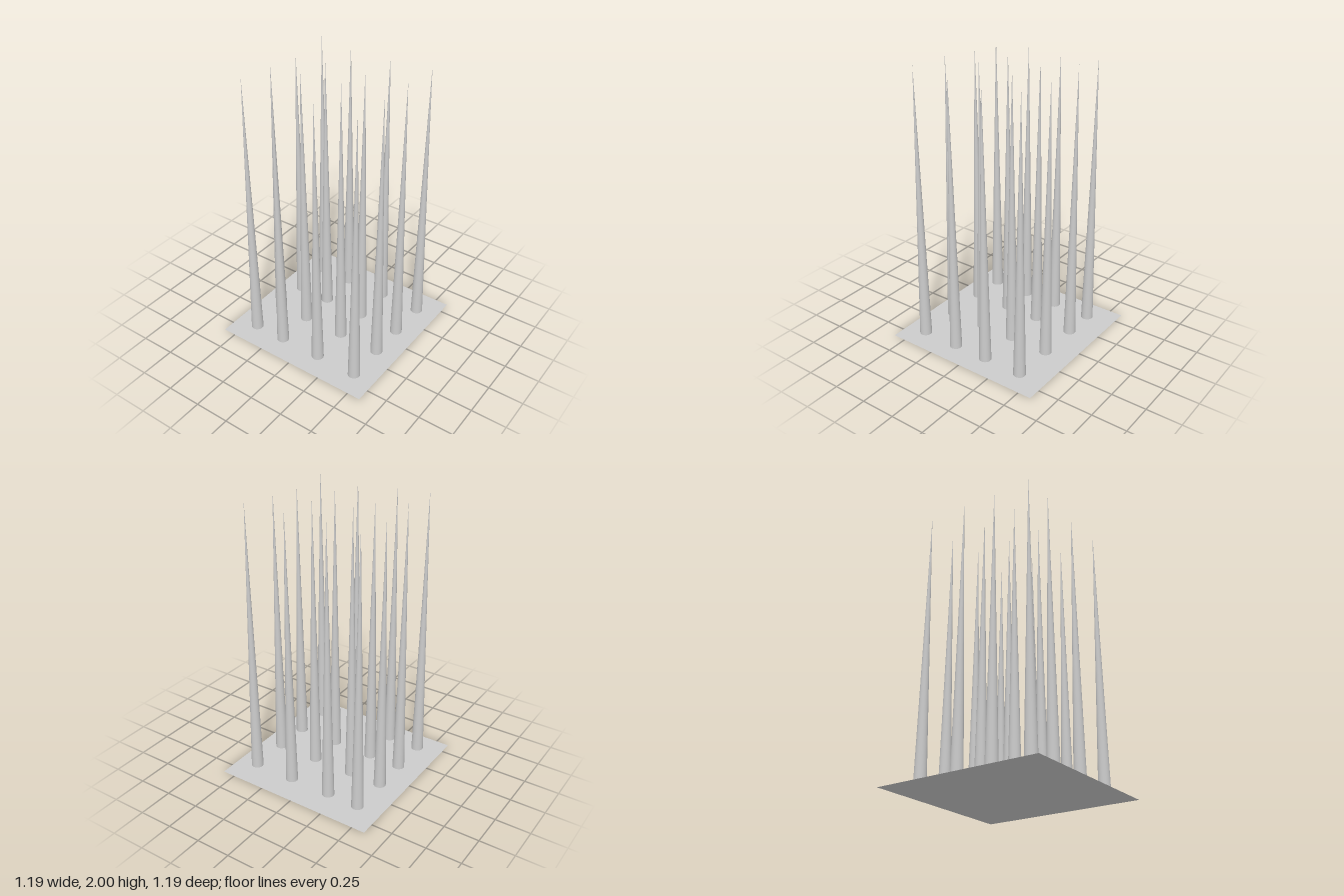
import * as THREE from 'three';

export function createModel() {
  const model = new THREE.Group();
  const material = new THREE.MeshStandardMaterial({ color: 0xcccccc });
  const sheetMaterial = new THREE.MeshStandardMaterial({ color: 0xcccccc, side: THREE.DoubleSide });

  // Thin square base sheet
  const base = new THREE.Mesh(new THREE.PlaneGeometry(1.19, 1.19), sheetMaterial);
  base.name = 'basePlate';
  base.rotation.x = -Math.PI / 2;
  model.add(base);

  // Four by four unevenly spaced tall spikes, sitting just above the sheet
  const gap = 0.01;
  const height = 2 - gap;
  const spikeGeometry = new THREE.ConeGeometry(0.043, height, 32);
  const columns = [-0.42, -0.18, 0.13, 0.44];
  const rows = [-0.4, -0.11, 0.15, 0.43];
  const spikes = new THREE.Group();
  spikes.name = 'spikes';
  rows.forEach((z, r) => columns.forEach((x, c) => {
    const spike = new THREE.Mesh(spikeGeometry, material);
    spike.name = `spikeRow${r + 1}Column${c + 1}`;
    spike.position.set(x, gap + height / 2, z);
    spikes.add(spike);
  }));
  model.add(spikes);

  return model;
}
